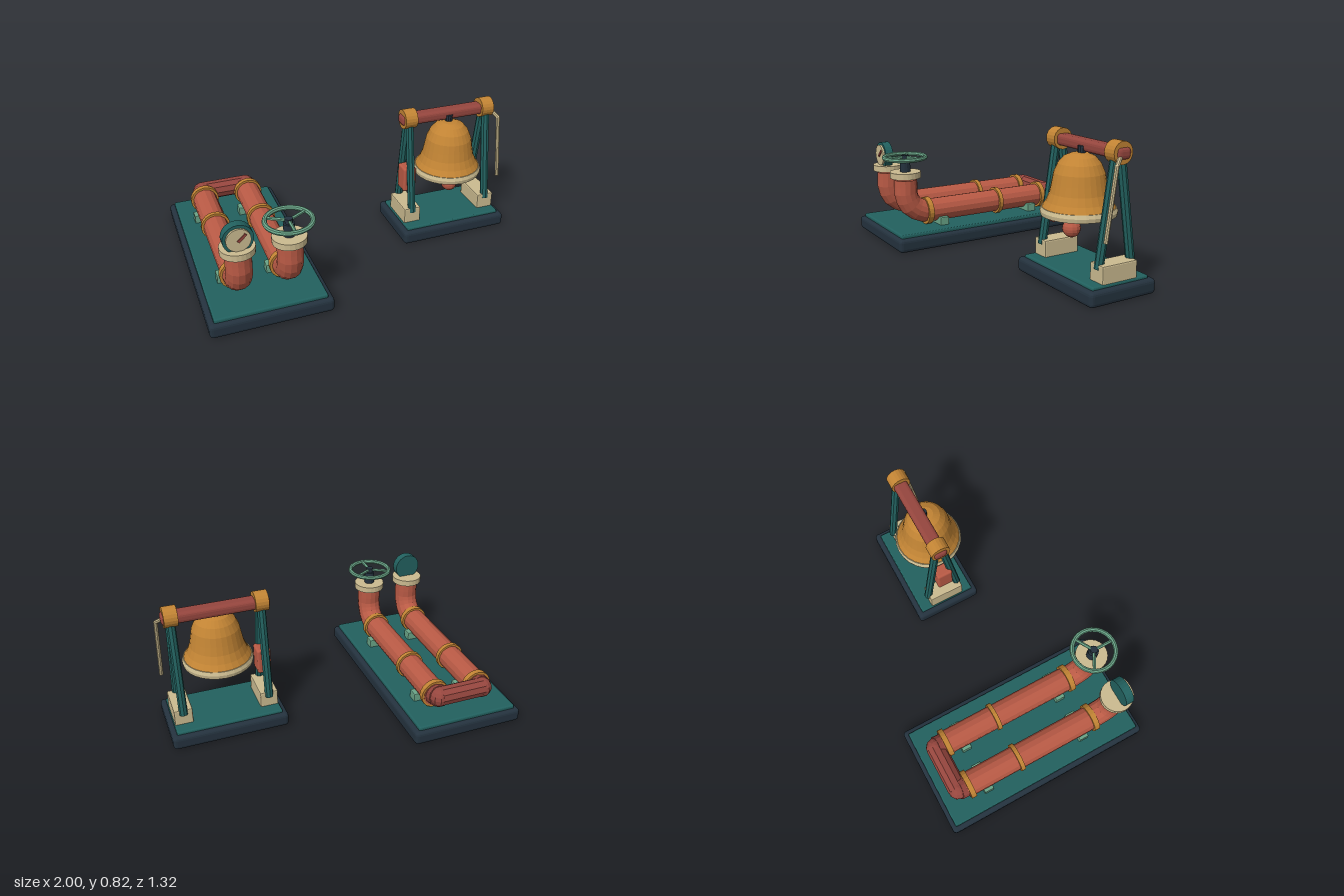
import * as THREE from 'three';
import { RoundedBoxGeometry } from 'three/addons/geometries/RoundedBoxGeometry.js';

const V = (x, y, z) => new THREE.Vector3(x, y, z);

export function createModel() {
  const model = new THREE.Group();
  const mat = (name, color, side = THREE.FrontSide) => {
    const m = new THREE.MeshStandardMaterial({ color, side });
    m.name = name;
    return m;
  };
  const navy = mat('navy', 0x24323e);
  const teal = mat('teal', 0x22615f);
  const red = mat('pipe red', 0xb95a45);
  const darkRed = mat('dark red', 0x96463e);
  const gold = mat('bronze gold', 0xc28434, THREE.DoubleSide);
  const cream = mat('cream', 0xcbbb90);
  const mint = mat('mint green', 0x6aa588);

  // Faceted mesh helper
  const add = (parent, name, geo, material, x = 0, y = 0, z = 0) => {
    const flat = geo.index ? geo.toNonIndexed() : geo;
    flat.computeVertexNormals();
    const mesh = new THREE.Mesh(flat, material);
    mesh.name = name;
    mesh.position.set(x, y, z);
    parent.add(mesh);
    return mesh;
  };
  const group = (name) => {
    const g = new THREE.Group();
    g.name = name;
    model.add(g);
    return g;
  };
  const rbox = (w, h, d, r, s = 2) => new RoundedBoxGeometry(w, h, d, s, r);
  const cyl = (r, h, n = 16) => new THREE.CylinderGeometry(r, r, h, n);
  // Round bar between two points
  const rod = (parent, name, a, b, r, material, n = 8) => {
    const mesh = add(parent, name, cyl(r, a.distanceTo(b), n), material);
    mesh.position.copy(a).lerp(b, 0.5);
    mesh.quaternion.setFromUnitVectors(V(0, 1, 0), b.clone().sub(a).normalize());
    return mesh;
  };

  // ---- Pipe stand ----
  const pipes = group('pipeStand');
  add(pipes, 'pipeBase', rbox(0.69, 0.084, 1.315, 0.022), navy, -0.655, 0.042, -0.002);
  add(pipes, 'pipeBasePlate', rbox(0.63, 0.06, 1.265, 0.01), teal, -0.655, 0.075, -0.002);

  const PY = 0.193, PZ = 0.52;
  for (const x of [-0.795, -0.515]) {
    rod(pipes, 'straightPipe', V(x, PY, 0.39), V(x, PY, -0.48), 0.074, red, 14);

    // Elbow turning up to the flange
    const bend = new THREE.CatmullRomCurve3([
      V(x, PY, 0.37), V(x, PY + 0.006, 0.415), V(x, PY + 0.045, 0.485),
      V(x, PY + 0.12, PZ), V(x, 0.36, PZ), V(x, 0.413, PZ)]);
    add(pipes, 'elbow', new THREE.TubeGeometry(bend, 7, 0.073, 14), red);
    add(pipes, 'elbowCap', cyl(0.071, 0.004, 14), red, x, 0.411, PZ);
    add(pipes, 'flange', cyl(0.096, 0.038, 24), cream, x, 0.444, PZ);

    for (const [z, w] of [[0.383, 0.034], [-0.128, 0.026], [-0.46, 0.032]])
      add(pipes, 'pipeBand', cyl(0.087, w, 20).rotateX(Math.PI / 2), gold, x, PY, z);
    for (const z of [0.297, -0.36])
      add(pipes, 'pipeFoot', rbox(0.18, 0.06, 0.06, 0.005, 1), mint, x, 0.125, z);

    // Rounded corner of the return bend
    rod(pipes, 'returnCorner', V(x, PY, -0.465), V(x, 0.21, -0.525), 0.066, darkRed, 12);
    add(pipes, 'returnCornerEnd', new THREE.SphereGeometry(0.061, 10, 8), darkRed, x, 0.21, -0.525);
  }
  rod(pipes, 'returnPipe', V(-0.795, 0.212, -0.528), V(-0.515, 0.212, -0.528), 0.058, darkRed, 10);

  // Pressure gauge
  const gauge = group('gauge');
  gauge.position.set(-0.795, 0.527, 0.54);
  add(gauge, 'gaugeCase', cyl(0.083, 0.05, 24).rotateX(Math.PI / 2), teal);
  add(gauge, 'gaugeFace', cyl(0.066, 0.014, 24).rotateX(Math.PI / 2), cream, 0, 0, 0.03);
  add(gauge, 'gaugeNeedle', new THREE.BoxGeometry(0.058, 0.014, 0.008).rotateZ(0.75), darkRed, 0.018, 0.013, 0.04);

  // Valve handwheel
  const valve = group('valve');
  valve.position.set(-0.515, 0.553, PZ);
  add(valve, 'valveStem', cyl(0.032, 0.08, 12), navy, 0, -0.055, 0);
  add(valve, 'valveHub', cyl(0.022, 0.034, 12), navy, 0, -0.004, 0);
  add(valve, 'wheelRim', new THREE.TorusGeometry(0.127, 0.014, 8, 28).rotateX(Math.PI / 2), mint);
  for (let i = 0; i < 3; i++) {
    const a = Math.PI / 2 + i * Math.PI * 2 / 3;
    rod(valve, 'wheelSpoke', V(0, 0, 0), V(Math.cos(a) * 0.127, 0, Math.sin(a) * 0.127), 0.01, mint, 6);
  }

  // ---- Bell stand ----
  const bell = group('bellStand');
  const BX = 0.652, BZ = 0.038;
  add(bell, 'bellBase', rbox(0.69, 0.084, 0.425, 0.022), navy, BX, 0.042, -0.004);
  add(bell, 'bellBasePlate', rbox(0.63, 0.05, 0.365, 0.01), teal, BX, 0.075, -0.004);

  for (const s of [-1, 1]) {
    const x = BX + s * 0.256;
    add(bell, 'frameFoot', rbox(0.108, 0.11, 0.224, 0.008, 1), cream, x, 0.14, 0);
    for (const t of [-1, 1])
      rod(bell, 'frameLeg', V(x, 0.745, -0.008 + t * 0.018), V(x, 0.165, -0.006 + t * 0.104), 0.025, teal, 8);
    add(bell, 'yokeCollar', cyl(0.06, 0.078, 20).rotateZ(Math.PI / 2), gold, x, 0.757, -0.01);
  }
  add(bell, 'yoke', rbox(0.615, 0.064, 0.086, 0.022), darkRed, BX, 0.754, -0.013);

  // Bell shell, open below
  const outer = [[0, 0.72], [0.045, 0.717], [0.085, 0.7], [0.115, 0.665], [0.137, 0.615],
    [0.147, 0.56], [0.157, 0.51], [0.175, 0.465], [0.197, 0.43]];
  const inner = [[0.185, 0.4], [0.16, 0.45], [0.14, 0.51], [0.125, 0.61], [0.08, 0.68], [0, 0.7]];
  const lathe = (pts, n) => new THREE.LatheGeometry(
    pts.map(([r, y]) => new THREE.Vector2(r, y)).reverse(), n);
  add(bell, 'bellBody', lathe(outer, 28), gold, BX, 0, BZ);
  add(bell, 'bellInside', lathe(inner, 28), gold, BX, 0, BZ);
  add(bell, 'bellLip', lathe([[0.185, 0.432], [0.2, 0.432], [0.208, 0.412], [0.204, 0.39],
    [0.185, 0.39], [0.185, 0.432]], 28), cream, BX, 0, BZ);
  add(bell, 'bellHanger', cyl(0.022, 0.06, 10), navy, BX, 0.725, 0.025);

  // Clapper
  rod(bell, 'clapperRod', V(BX, 0.69, BZ), V(BX, 0.33, 0.08), 0.018, navy, 8);
  add(bell, 'clapperBall', new THREE.SphereGeometry(0.05, 12, 10), red, BX, 0.317, 0.083);

  // Counterweight and pull handle
  add(bell, 'counterweight', rbox(0.082, 0.156, 0.1, 0.012), red, 0.396, 0.368, 0.005);
  const pull = [V(0.94, 0.745, 0), V(0.978, 0.7, 0.055), V(0.978, 0.32, 0.112)];
  for (let i = 0; i < 2; i++) rod(bell, 'pullHandle', pull[i], pull[i + 1], 0.012, cream, 8);
  add(bell, 'pullJoint', new THREE.SphereGeometry(0.012, 8, 6), cream, 0.978, 0.7, 0.055);

  return model;
}
